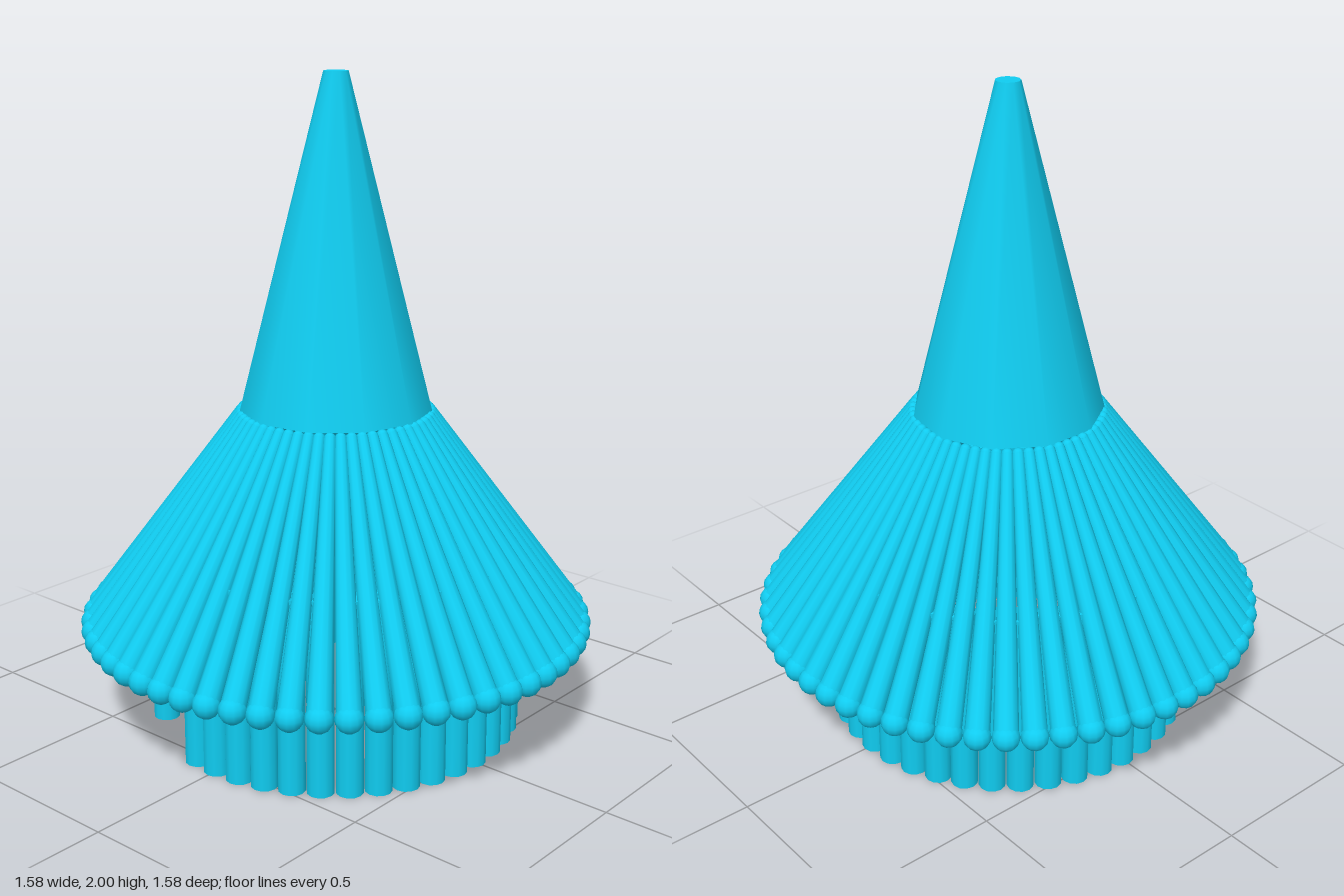
import * as THREE from 'three';

const material = new THREE.MeshStandardMaterial({ color: 0x10ccf0 });

function addMesh(parent, name, geometry) {
  const mesh = new THREE.Mesh(geometry, material);
  mesh.name = name;
  parent.add(mesh);
  return mesh;
}

// Ring of round posts with a doorway left open
function createWall() {
  const wall = new THREE.Group();
  wall.name = 'wall';
  const count = 40, radius = 0.535, height = 0.6;
  const doorway = [22, 23, 24];
  const post = new THREE.CylinderGeometry(0.041, 0.041, height, 12);
  for (let i = 0; i < count; i++) {
    if (doorway.includes(i)) continue;
    const a = (i / count) * Math.PI * 2;
    addMesh(wall, 'wallPost', post).position.set(radius * Math.cos(a), height / 2, radius * Math.sin(a));
  }
  return wall;
}

// Skirt of sloping tapered poles with rounded ends
function createRoof() {
  const roof = new THREE.Group();
  roof.name = 'roof';
  const count = 58;
  const top = new THREE.Vector3(0.288, 0.985, 0);
  const bottom = new THREE.Vector3(0.75, 0.335, 0);
  const axis = top.clone().sub(bottom);
  const pole = new THREE.CylinderGeometry(0.018, 0.037, axis.length(), 12);
  const lowerEnd = new THREE.SphereGeometry(0.041, 12, 8);
  const upperEnd = new THREE.SphereGeometry(0.018, 10, 6);
  for (let i = 0; i < count; i++) {
    const rafter = new THREE.Group();
    rafter.name = 'rafter';
    rafter.rotation.y = (i / count) * Math.PI * 2;
    const shaft = addMesh(rafter, 'rafterPole', pole);
    shaft.position.copy(top).add(bottom).multiplyScalar(0.5);
    shaft.rotation.z = Math.atan2(-axis.x, axis.y);
    addMesh(rafter, 'rafterLowerEnd', lowerEnd).position.copy(bottom);
    addMesh(rafter, 'rafterUpperEnd', upperEnd).position.copy(top);
    roof.add(rafter);
  }
  return roof;
}

export function createModel() {
  const hut = new THREE.Group();
  hut.name = 'roundHut';
  hut.add(createWall(), createRoof());
  // Tall tapered spire
  addMesh(hut, 'spire', new THREE.CylinderGeometry(0.037, 0.292, 1, 11)).position.y = 1.5;
  return hut;
}
